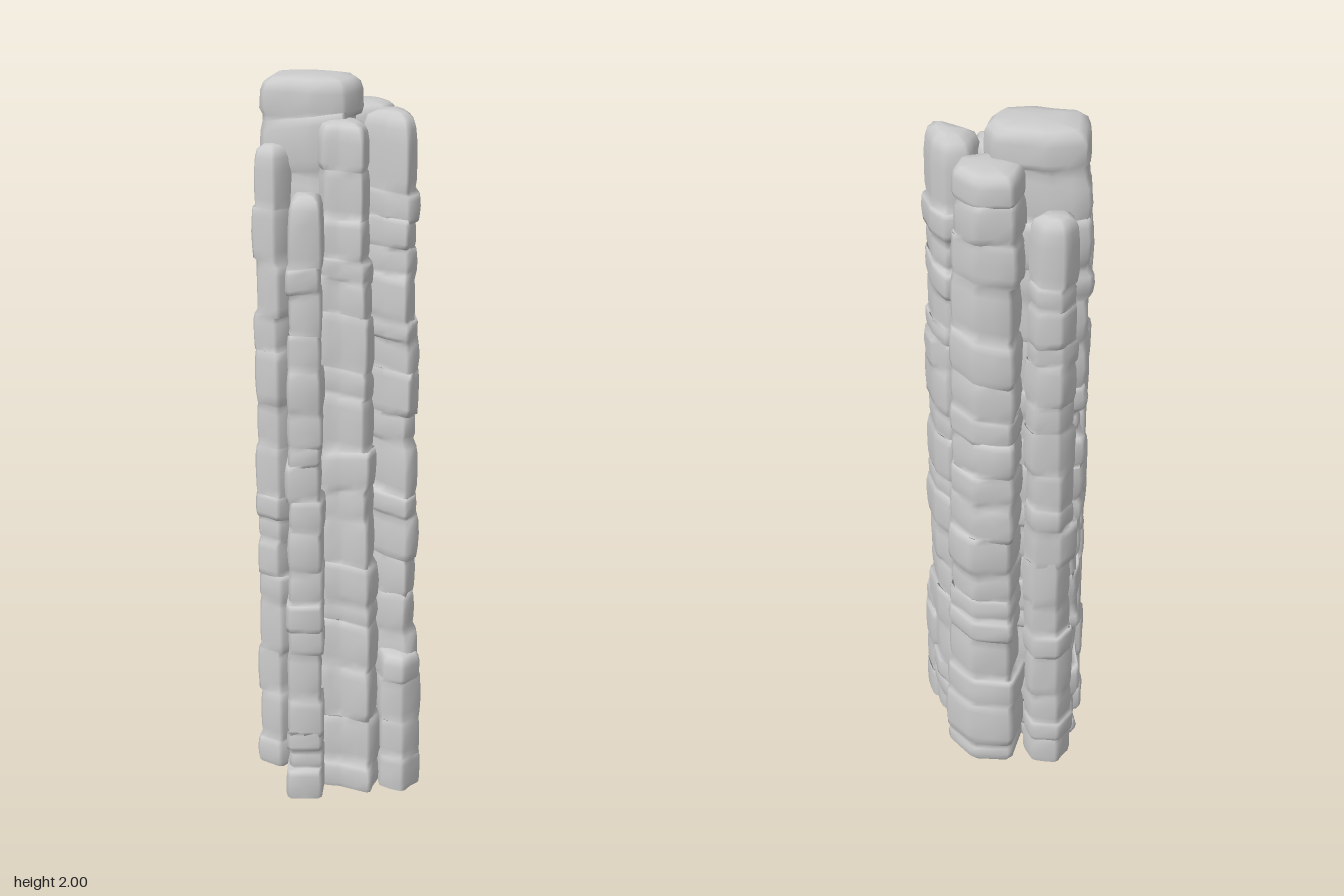
import * as THREE from 'three';

// Seeded random numbers for the weathering
function seeded(seed) {
  let s = seed;
  return () => {
    s = (s * 16807) % 2147483647;
    return s / 2147483647;
  };
}

// Oval polygon outline for the slimmer columns
function oval(cx, cz, rx, rz, sides, turn) {
  return Array.from({ length: sides }, (_, i) => {
    const a = turn + (i / sides) * Math.PI * 2;
    return [cx + Math.cos(a) * rx, cz + Math.sin(a) * rz];
  });
}

// Chamfer every corner of an outline and add an edge midpoint
function softOutline(points) {
  const out = [];
  points.forEach(([x, z], i) => {
    const [nx, nz] = points[(i + 1) % points.length];
    for (const t of [0.1, 0.5, 0.9]) out.push([x + (nx - x) * t, z + (nz - z) * t]);
  });
  return out;
}

// Loft one column of stacked, worn blocks. Outline corners are [x, z], clockwise
// from above; towards the top it shrinks by a factor and shifts sideways.
function rockColumn(name, seed, height, corners, shrink, shift) {
  const rand = seeded(seed * 7919 + 13);
  const spread = (a) => (rand() * 2 - 1) * a;
  const outline = softOutline(corners);
  const n = outline.length;
  const mx = outline.reduce((sum, p) => sum + p[0], 0) / n;
  const mz = outline.reduce((sum, p) => sum + p[1], 0) / n;
  const positions = [];
  const index = [];
  let rings = 0;

  const addRing = (y, t, scale, dx, dz, bumps, tilt) => {
    const taper = THREE.MathUtils.lerp(1, shrink, t);
    outline.forEach(([px, pz], i) => {
      const x = (px - mx) * taper, z = (pz - mz) * taper;
      const s = scale * (1 + bumps[i] + spread(0.018));
      positions.push(
        mx + shift[0] * t + dx + x * s,
        y + x * tilt[0] + z * tilt[1],
        mz + shift[1] * t + dz + z * s
      );
    });
    rings++;
  };

  let y = 0;
  while (y < height - 0.001) {
    let h = 0.05 + rand() * 0.11;
    if (height - y - h < 0.07) h = height - y;
    const last = y + h >= height - 0.001;
    const t = (y + h / 2) / height;
    const scale = 0.97 + spread(0.045);
    const seam = 0.93 + rand() * 0.05;
    const dx = spread(0.005), dz = spread(0.005);
    const wear = corners.map(() => spread(0.06));
    const bumps = outline.map((_, i) => wear[Math.round(i / 3) % wear.length]);
    const tilt = y === 0 || last ? [0, 0] : [spread(0.15), spread(0.15)];
    // A block swells out of one seam and tucks back into the next
    const profile = last
      ? [[0, seam], [0.15, 1], [0.6, 0.99], [0.8, 0.93], [0.92, 0.8], [0.98, 0.5]]
      : [[0, seam], [0.18, 1], [0.5, 1.015], [0.8, 1], [0.97, seam]];
    for (const [f, s] of profile) addRing(y + h * f, t, scale * s, dx, dz, bumps, tilt);
    y += h;
  }

  // Skin between successive rings
  for (let r = 0; r < rings - 1; r++) {
    for (let i = 0; i < n; i++) {
      const a = r * n + i, b = r * n + (i + 1) % n;
      index.push(a, a + n, b, b, a + n, b + n);
    }
  }
  // Crown
  const crown = positions.length / 3;
  positions.push(mx + shift[0], height, mz + shift[1]);
  for (let i = 0; i < n; i++) {
    index.push((rings - 1) * n + i, crown, (rings - 1) * n + (i + 1) % n);
  }
  // Flat underside with its own vertices, so the foot stays crisp
  const foot = crown + 1;
  for (let i = 0; i < n; i++) positions.push(positions[i * 3], 0, positions[i * 3 + 2]);
  positions.push(mx, 0, mz);
  for (let i = 0; i < n; i++) index.push(foot + n, foot + i, foot + (i + 1) % n);

  const geometry = new THREE.BufferGeometry();
  geometry.setAttribute('position', new THREE.Float32BufferAttribute(positions, 3));
  geometry.setIndex(index);
  geometry.computeVertexNormals();
  const mesh = new THREE.Mesh(geometry, new THREE.MeshStandardMaterial({ color: 0xcccccc }));
  mesh.name = name;
  return mesh;
}

export function createModel() {
  const group = new THREE.Group();
  group.name = 'rockPillar';

  // Four broad columns
  const tall = [[-0.19, -0.14], [-0.08, -0.15], [0.07, -0.1], [0.08, -0.03], [0.04, 0.07], [-0.06, 0.07], [-0.21, 0.01]];
  group.add(rockColumn('tallCentreColumn', 1, 2, tall, 0.93, [-0.015, -0.005]));
  const back = [[-0.04, -0.11], [0.01, -0.24], [0.13, -0.22], [0.2, -0.12], [0.17, -0.03], [0.05, -0.01]];
  group.add(rockColumn('backRightColumn', 2, 1.92, back, 0.78, [-0.03, 0.01]));
  const right = [[0.04, 0.06], [0.09, -0.03], [0.165, -0.04], [0.205, 0.03], [0.22, 0.13], [0.19, 0.175], [0.12, 0.13]];
  group.add(rockColumn('rightColumn', 3, 1.93, right, 0.88, [-0.01, 0]));
  const front = [[-0.09, 0.06], [0.02, -0.03], [0.1, 0.04], [0.13, 0.15], [0.1, 0.225], [0.01, 0.185], [-0.06, 0.175]];
  group.add(rockColumn('frontColumn', 4, 1.9, front, 0.66, [-0.02, -0.055]));

  // Slim outer columns
  group.add(rockColumn('leftColumn', 5, 1.83, oval(-0.175, 0.02, 0.068, 0.072, 5, 0.2), 0.88, [0.005, -0.005]));
  group.add(rockColumn('frontLeftColumn', 6, 1.74, oval(-0.09, 0.185, 0.072, 0.088, 4, 0.8), 0.85, [0.005, -0.01]));
  group.add(rockColumn('backLeftColumn', 7, 1.81, oval(-0.1, -0.187, 0.078, 0.068, 6, 0.2), 0.82, [0.005, 0]));

  // Broken stump at the right foot
  group.add(rockColumn('rightFootStump', 8, 0.43, oval(0.17, 0.125, 0.07, 0.075, 6, 0.3), 0.97, [0, 0]));
  return group;
}
